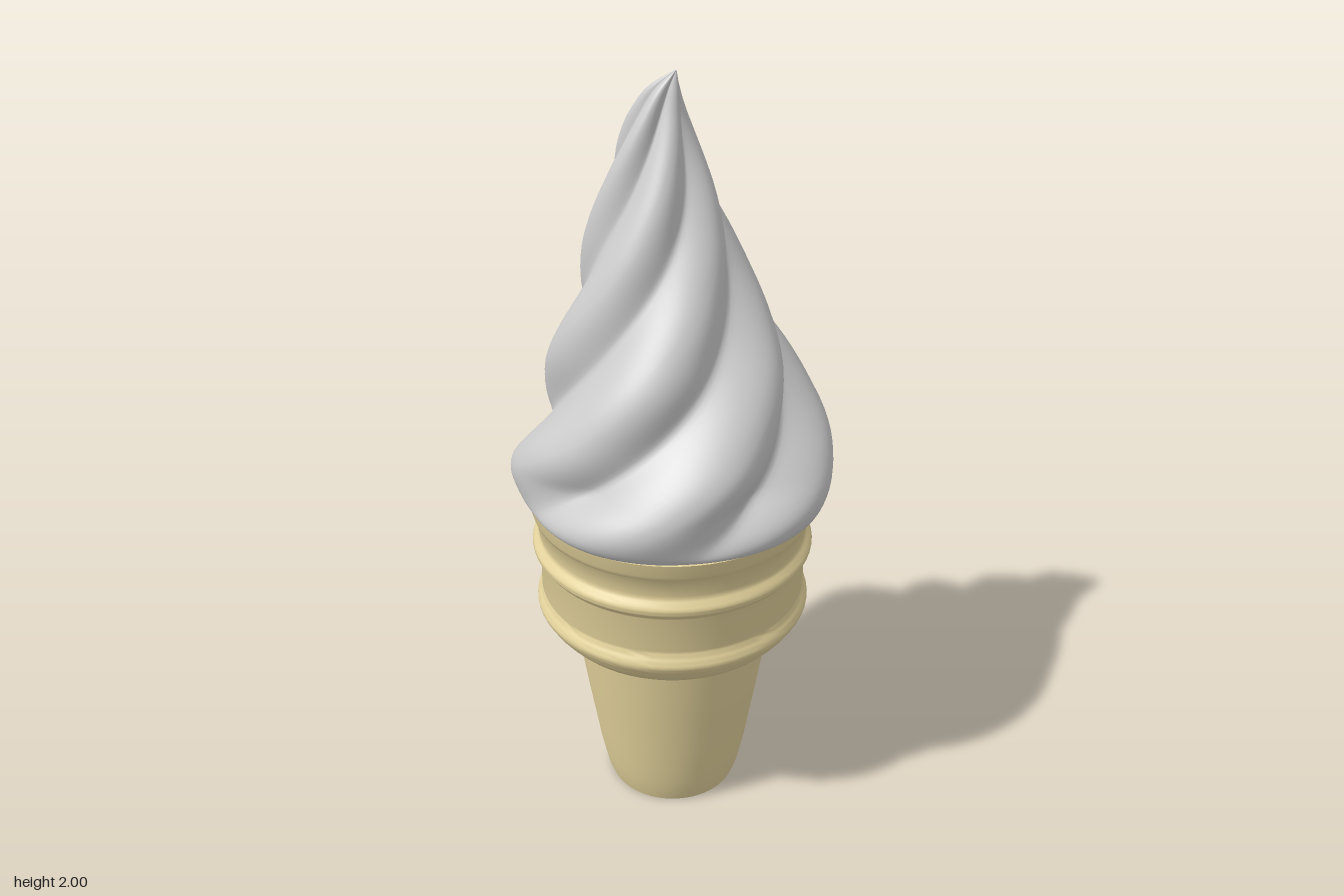
import * as THREE from 'three';
import { toCreasedNormals } from 'three/addons/utils/BufferGeometryUtils.js';

const LOBES = 5;

// Five-lobed twisted swirl, lofted from rings that turn as they rise
function swirlGeometry(rows = 80, around = 120) {
  // x = lobe radius, y = height, z = sideways shift of the ring centre
  const spine = new THREE.CatmullRomCurve3([
    [0.362, 0.912, -0.008], [0.398, 0.935, -0.005], [0.415, 0.99, -0.003], [0.392, 1.09, 0],
    [0.342, 1.2, -0.003], [0.298, 1.31, -0.012], [0.254, 1.41, -0.026], [0.212, 1.51, -0.036],
    [0.176, 1.61, -0.042], [0.14, 1.71, -0.046], [0.102, 1.81, -0.047],
    [0.065, 1.9, -0.038], [0.036, 1.96, -0.02], [0.002, 2.0, 0.008],
  ].map((p) => new THREE.Vector3(...p)));
  const positions = [], index = [];
  for (let j = 0; j <= rows; j++) {
    const { x: radius, y, z: shift } = spine.getPoint(j / rows);
    const twist = THREE.MathUtils.degToRad(108 - 220 * (y - 1));
    const depth = Math.min(0.2, (y - 0.912) * 1.5) + 0.14 * THREE.MathUtils.smoothstep(y, 1.55, 1.95);
    const lean = 0.012 * THREE.MathUtils.smoothstep(y, 1.6, 2);
    for (let i = 0; i < around; i++) {
      const phi = (i / around) * Math.PI * 2;
      const s = Math.sin(phi * LOBES / 2);
      const bump = Math.pow(s * s + 0.01, 0.58); // round lobes, soft grooves
      const r = radius * (1 - depth * (1 - Math.min(1, bump)));
      positions.push(shift + r * Math.cos(phi + twist), y, lean + r * Math.sin(phi + twist));
    }
  }
  for (let j = 0; j < rows; j++) {
    for (let i = 0; i < around; i++) {
      const a = j * around + i, b = j * around + (i + 1) % around;
      index.push(a, a + around, b, b, a + around, b + around);
    }
  }
  const geometry = new THREE.BufferGeometry();
  geometry.setAttribute('position', new THREE.Float32BufferAttribute(positions, 3));
  geometry.setIndex(index);
  geometry.computeVertexNormals();
  return geometry;
}

// Half-round bead on the cone wall
function bead(wall, y0, y1, bulge) {
  return Array.from({ length: 11 }, (_, i) => {
    const t = i / 10;
    return [wall + bulge * Math.sin(Math.PI * t) ** 1.3, y0 + (y1 - y0) * t];
  });
}

// Flat-bottomed wafer cup, turned from its profile
function coneGeometry() {
  const profile = [
    [0, 0], [0.172, 0], [0.183, 0.03], [0.193, 0.075], [0.204, 0.13], [0.215, 0.2],
    [0.231, 0.3], [0.246, 0.4], [0.259, 0.495],
    [0.285, 0.508], [0.311, 0.525], [0.329, 0.545],
    ...bead(0.342, 0.562, 0.63, 0.016),
    [0.345, 0.64], [0.345, 0.73],
    ...bead(0.346, 0.738, 0.8, 0.018),
    [0.348, 0.81], [0.349, 0.855],
    [0.358, 0.862], [0.363, 0.875], [0.372, 0.913], [0, 0.913],
  ].map((p) => new THREE.Vector2(...p));
  return toCreasedNormals(new THREE.LatheGeometry(profile, 64), 0.9);
}

export function createModel() {
  const group = new THREE.Group();

  const cone = new THREE.Mesh(coneGeometry(),
    new THREE.MeshStandardMaterial({ color: 0xe4d39c }));
  cone.name = 'waferCone';
  cone.position.x = -0.01;

  const swirl = new THREE.Mesh(swirlGeometry(),
    new THREE.MeshStandardMaterial({ color: 0xcccccc }));
  swirl.name = 'iceCreamSwirl';

  group.add(cone, swirl);
  return group;
}
